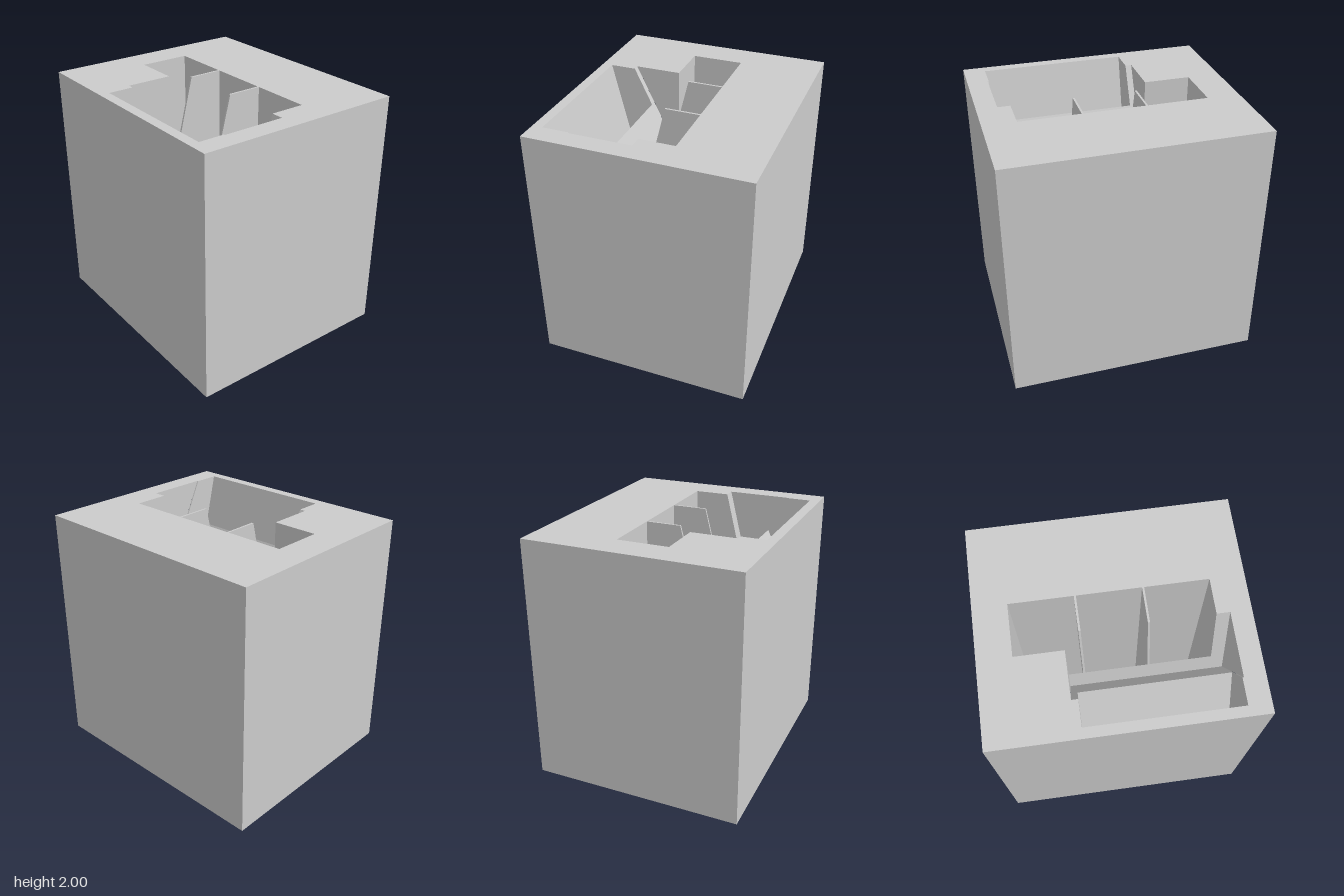
import * as THREE from 'three';
import { mergeGeometries } from 'three/addons/utils/BufferGeometryUtils.js';

const material = new THREE.MeshStandardMaterial({ color: 0xcccccc, flatShading: true });

// Flat polygon in the plane where `axis` equals `at`, facing along sign `dir`.
// Corners are (z, y) for axis x, (x, z) for axis y, (x, y) for axis z.
function panel(axis, at, dir, corners, holes = []) {
  const toPoints = (list) => list.map(([u, v]) => new THREE.Vector2(u, v));
  const shape = new THREE.Shape(toPoints(corners));
  holes.forEach((hole) => shape.holes.push(new THREE.Path(toPoints(hole))));
  const geometry = new THREE.ShapeGeometry(shape);
  const p = geometry.attributes.position;
  for (let i = 0; i < p.count; i++) {
    const u = p.getX(i), v = p.getY(i);
    if (axis === 'x') p.setXYZ(i, at, v, u);
    if (axis === 'y') p.setXYZ(i, u, at, v);
    if (axis === 'z') p.setXYZ(i, u, v, at);
  }
  // shapes face +z; the x and y mappings mirror them
  if (dir !== (axis === 'z' ? 1 : -1)) geometry.index.array.reverse();
  geometry.computeVertexNormals();
  return geometry;
}

// Sloping strip along x between two (z, y) points, always facing upwards
function slope(x0, x1, a, b) {
  const [p, q] = a[0] < b[0] ? [a, b] : [b, a];
  const geometry = new THREE.PlaneGeometry(1, 1);
  geometry.attributes.position.array.set([
    x0, p[1], p[0], x1, p[1], p[0], x0, q[1], q[0], x1, q[1], q[0],
  ]);
  geometry.computeVertexNormals();
  return geometry;
}

const rect = (u0, u1, v0, v1) => [[u0, v0], [u1, v0], [u1, v1], [u0, v1]];

export function createModel() {
  const group = new THREE.Group();
  const add = (name, geometries) => {
    const mesh = new THREE.Mesh(mergeGeometries(geometries), material);
    mesh.name = name;
    group.add(mesh);
  };

  // Main sizes
  const H = 2, X = 1, Z = 0.855;
  const back = -0.21, front = 0.2, shaftX = 0.74, half = 0.008;
  const bays = [[-shaftX, -0.25 - half], [-0.25 + half, 0.25 - half], [0.25 + half, shaftX]];

  // Two mirrored V troughs: (z, y) corners
  const rearTop = [0.07, H], cut = [front, 1.48], rearApex = [0.24, 1.32], rearLip = [0.57, H];
  const crest = [0.425, 1.7], frontApex = [0.61, 1.32], frontLip = [0.775, H];
  const b0 = -0.37, b1 = 0.84, c0 = -0.32, c1 = 0.83;

  // Outer walls
  add('outerWalls', [-1, 1].flatMap((s) => [
    panel('x', s * X, s, rect(-Z, Z, 0, H)),
    panel('z', s * Z, s, rect(-X, X, 0, H)),
  ]));

  // Top with the joined opening
  const opening = [
    [-shaftX, back], [shaftX, back], [shaftX, 0.07], [b1, 0.07], [b1, 0.57], [c1, 0.57],
    [c1, 0.775], [c0, 0.775], [c0, 0.57], [b0, 0.57], [b0, front], [-shaftX, front],
  ];
  add('top', [panel('y', H, 1, rect(-X, X, -Z, Z), [opening])]);

  // Underside with three openings
  add('underside', [panel('y', 0, -1, rect(-X, X, -Z, Z),
    bays.map(([x0, x1]) => rect(x0, x1, back, front)))]);

  // Through shaft
  const cutProfile = [[back, 0], [front, 0], cut, rearTop, [back, H]];
  const [first, ...others] = bays;
  add('shaftWalls', [
    ...bays.map(([x0, x1]) => panel('z', back, 1, rect(x0, x1, 0, H))),
    panel('x', -shaftX, 1, rect(back, front, 0, H)),
    panel('x', shaftX, -1, cutProfile),
    panel('z', front, -1, [[first[0], 0], [first[1], 0], [first[1], cut[1]],
      [b0, cut[1]], [b0, H], [first[0], H]]),
    ...others.map(([x0, x1]) => panel('z', front, -1, rect(x0, x1, 0, cut[1]))),
  ]);

  // Thin dividers with a slanted front edge
  for (const x of [-0.25, 0.25]) {
    add(x < 0 ? 'rightDivider' : 'leftDivider', [
      panel('x', x - half, -1, cutProfile),
      panel('x', x + half, 1, cutProfile),
      slope(x - half, x + half, [back, H], rearTop),
      slope(x - half, x + half, rearTop, cut),
    ]);
  }

  // Rear trough, running into the shaft
  add('rearTrough', [
    slope(shaftX, b1, rearTop, cut),
    slope(b0, b1, cut, rearApex),
    slope(b0, b1, rearApex, crest),
    slope(b0, c0, crest, rearLip),
    slope(c1, b1, crest, rearLip),
    panel('x', b0, 1, [[front, H], cut, rearApex, rearLip]),
    panel('x', b1, -1, [rearTop, rearApex, rearLip]),
  ]);

  // Front trough
  const endProfile = [crest, frontApex, frontLip, rearLip];
  add('frontTrough', [
    slope(c0, c1, crest, frontApex),
    slope(c0, c1, frontApex, frontLip),
    panel('x', c0, 1, endProfile),
    panel('x', c1, -1, endProfile),
  ]);

  return group;
}
